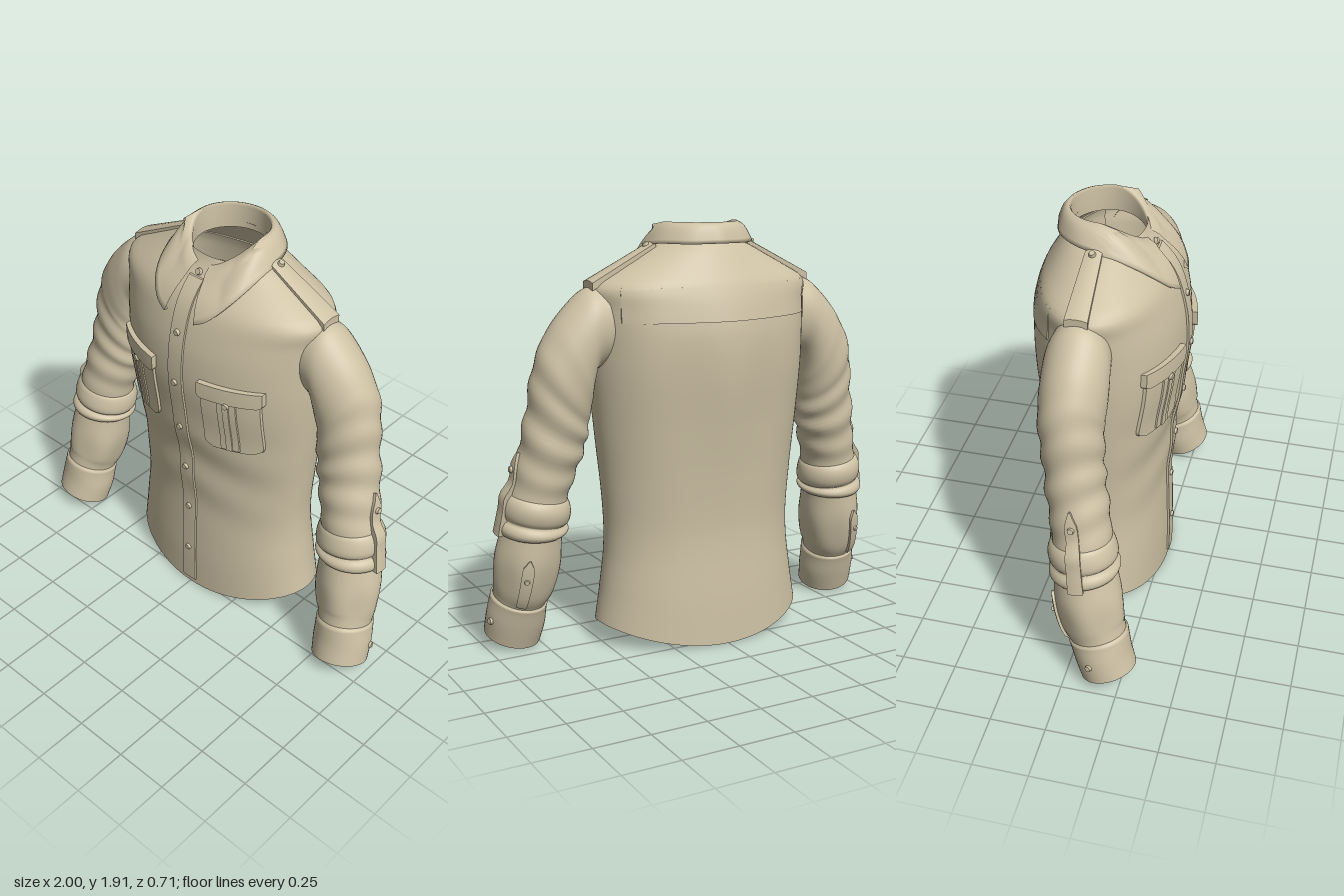
import * as THREE from 'three';

const khaki = new THREE.MeshStandardMaterial({ color: 0xcdc1a4, side: THREE.DoubleSide });
khaki.name = 'khaki cloth';
const V = (x, y, z) => new THREE.Vector3(x, y, z);
const bump = (x, c, w) => Math.exp(-(((x - c) / w) ** 2));

// Torso profile: height, half width, front depth, back depth
const TORSO = [
  [0, 0.515, 0.28, 0.31], [0.2, 0.49, 0.28, 0.3], [0.5, 0.465, 0.27, 0.28], [0.75, 0.48, 0.28, 0.29],
  [1, 0.505, 0.31, 0.312], [1.25, 0.525, 0.34, 0.338], [1.42, 0.53, 0.335, 0.342], [1.55, 0.535, 0.308, 0.322],
  [1.64, 0.54, 0.275, 0.295], [1.7, 0.44, 0.235, 0.262], [1.75, 0.345, 0.185, 0.232], [1.8, 0.25, 0.148, 0.2], [1.82, 0.2, 0.14, 0.18],
];
// Smooth (Hermite) lookup of one torso column at a height
function prof(y, c) {
  const T = TORSO, n = T.length - 1;
  y = Math.min(Math.max(y, 0), T[n][0]);
  let i = 0;
  while (i < n - 1 && y > T[i + 1][0]) i++;
  const slope = (k) => {
    const a = T[Math.max(k - 1, 0)], b = T[Math.min(k + 1, n)];
    return (b[c] - a[c]) / (b[0] - a[0]);
  };
  const h = T[i + 1][0] - T[i][0], t = (y - T[i][0]) / h, t2 = t * t, t3 = t2 * t;
  return (2 * t3 - 3 * t2 + 1) * T[i][c] + (t3 - 2 * t2 + t) * h * slope(i)
    + (3 * t2 - 2 * t3) * T[i + 1][c] + (t3 - t2) * h * slope(i + 1);
}
// Soft cloth folds, front and back
const foldF = (x, y) => 0.006 * Math.sin(20 * y + 7 * Math.abs(x)) * bump(y, 0.8, 0.28);
const foldB = (x, y) => 0.009 * Math.cos(15 * x) * bump(y, 1.2, 0.4);
function depth(x, y, c) {
  const r = x / prof(y, 1), k = Math.sqrt(Math.max(0, 1 - r * r));
  return k * (prof(y, c) + (c === 2 ? foldF(x, y) : foldB(x, y)));
}
const frontZ = (x, y) => depth(x, y, 2), backZ = (x, y) => -depth(x, y, 3);

// Surface from a rule f(u, v), optionally closed around u
function surf(f, nu, nv, closed) {
  const pos = [], idx = [], cols = closed ? nu : nu + 1;
  for (let j = 0; j <= nv; j++) for (let i = 0; i < cols; i++) pos.push(...f(i / nu, j / nv).toArray());
  for (let j = 0; j < nv; j++) for (let i = 0; i < nu; i++) {
    const a = j * cols + i, b = j * cols + ((i + 1) % cols);
    idx.push(a, b, a + cols, b, b + cols, a + cols);
  }
  const g = new THREE.BufferGeometry();
  g.setAttribute('position', new THREE.Float32BufferAttribute(pos, 3));
  g.setIndex(idx);
  g.computeVertexNormals();
  return g;
}
// Thin box bent by a rule; x, y run 0..1 and z is 0 (under) or 1 (top)
function bend(nx, ny, f) {
  const g = new THREE.BoxGeometry(1, 1, 1, nx, ny, 1), p = g.attributes.position;
  for (let i = 0; i < p.count; i++) {
    const q = f(p.getX(i) + 0.5, p.getY(i) + 0.5, p.getZ(i) + 0.5);
    p.setXYZ(i, q.x, q.y, q.z);
  }
  g.computeVertexNormals();
  return g;
}
// Plate lying on the chest, with its lower corners drawn in
function chestPlate(x0, x1, y0, y1, lift, round = 0, ny = 16) {
  return bend(8, ny, (a, b, c) => {
    const y = y0 + (y1 - y0) * b, d = Math.max(0, 1 - (y - y0) / (round || 1e-6));
    const inset = round * (1 - Math.sqrt(1 - d * d)), x = x0 + inset + (x1 - x0 - 2 * inset) * a;
    return V(x, y, frontZ(x, y) + (c ? lift : -0.01));
  });
}
function button(p, dir, r = 0.016) {
  const g = new THREE.CylinderGeometry(r * 0.8, r, 0.014, 14);
  g.applyQuaternion(new THREE.Quaternion().setFromUnitVectors(V(0, 1, 0), dir.clone().normalize()));
  return g.translate(p.x, p.y, p.z);
}
function mirror(g) {
  const m = g.clone().scale(-1, 1, 1), a = m.index.array;
  for (let i = 0; i < a.length; i += 3) [a[i], a[i + 1]] = [a[i + 1], a[i]];
  return m;
}

// Sleeve sections: outer x, y, inner x, y, centre z, half depth
const SLEEVE = [
  [0.5, 1.645, 0.46, 1.3, -0.02, 0.13], [0.565, 1.63, 0.53, 1.27, -0.02, 0.14], [0.64, 1.57, 0.545, 1.21, -0.02, 0.145],
  [0.72, 1.48, 0.55, 1.15, -0.02, 0.145], [0.78, 1.38, 0.555, 1.09, -0.02, 0.14], [0.815, 1.26, 0.56, 1.02, -0.01, 0.135],
  [0.835, 1.12, 0.57, 0.95, 0, 0.13], [0.86, 0.98, 0.59, 0.88, 0.015, 0.13], [0.885, 0.85, 0.62, 0.79, 0.035, 0.13],
  [0.91, 0.74, 0.645, 0.7, 0.05, 0.13], [0.925, 0.64, 0.655, 0.6, 0.06, 0.13], [0.94, 0.56, 0.665, 0.55, 0.07, 0.138],
  [0.965, 0.45, 0.67, 0.41, 0.088, 0.15], [0.968, 0.33, 0.7, 0.28, 0.112, 0.143], [0.965, 0.255, 0.725, 0.22, 0.135, 0.128],
  [0.98, 0.16, 0.73, 0.11, 0.16, 0.12], [0.985, 0.065, 0.745, 0.025, 0.188, 0.117],
];
const LAST = SLEEVE.length - 1;
const outer = new THREE.CatmullRomCurve3(SLEEVE.map((r) => V(r[0], r[1], r[4])));
const inner = new THREE.CatmullRomCurve3(SLEEVE.map((r) => V(r[2], r[3], r[4])));
const halfDepth = new THREE.CatmullRomCurve3(SLEEVE.map((r, i) => V(r[5], i, 0)));
const mid = (t) => outer.getPoint(t).add(inner.getPoint(t)).multiplyScalar(0.5);
// Point on the sleeve at section k and angle th (0 = outside, PI/2 = front), pushed out by off
function sleeveAt(k, th, off = 0) {
  const t = Math.min(k / LAST, 1), c = mid(t), u = outer.getPoint(t).sub(c), len = u.length();
  const tan = mid(Math.min(t + 0.01, 1)).sub(mid(Math.max(t - 0.01, 0)));
  const w = tan.cross(u).normalize();
  const fold = 0.007 * Math.sin(k * 5 + 1.5 * Math.sin(th)) * bump(k, 6.5, 2.3)
    + 0.005 * Math.cos(5 * th) * bump(k, 12.6, 0.9);
  const o = off + fold;
  return c.addScaledVector(u.normalize(), (len + o) * Math.cos(th))
    .addScaledVector(w, (halfDepth.getPoint(t).x + o) * Math.sin(th));
}
// Strap along the sleeve with one pointed end
function sleeveTab(k0, k1, th, half, lift) {
  return bend(4, 16, (a, b, c) => {
    const k = k0 + (k1 - k0) * b, w = half * Math.min(1, 0.15 + b * 6);
    return sleeveAt(k, th + (a - 0.5) * 2 * w, c ? lift(k) : -0.005);
  });
}

// Collar outline: outer edge from the back centre to the front point
const collarEdge = new THREE.CatmullRomCurve3([
  V(0, 1.82, -0.248), V(0.14, 1.818, -0.205), V(0.235, 1.818, -0.1), V(0.255, 1.805, 0.01),
  V(0.24, 1.752, frontZ(0.24, 1.752) + 0.025), V(0.2, 1.685, frontZ(0.2, 1.685) + 0.025),
  V(0.14, 1.62, frontZ(0.14, 1.62) + 0.025), V(0.085, 1.59, frontZ(0.085, 1.59) + 0.025),
]);
function collarPoint(u, v) {
  const s = u * 2 - 1, a = Math.abs(s), phi = a * Math.PI * 0.94;
  const drop = THREE.MathUtils.smoothstep(a, 0.5, 1.05);
  const ring = (r, y) => V(r * Math.sin(phi), y, -0.02 - (r - 0.005) * Math.cos(phi));
  const top = 1.91 - 0.12 * drop, row = Math.round(v * 12);
  let p;
  if (row === 0) p = ring(0.17, 1.79 - 0.03 * drop);
  else if (row === 1) p = ring(0.168, top - 0.012);
  else if (row === 2) p = ring(0.176, top);
  else {
    const t = Math.min((row - 2) / 9, 1), e = collarEdge.getPoint(a);
    p = ring(0.185, top - 0.004).lerp(e, t);
    p.y += 0.02 * Math.sin(Math.PI * t) * (1 - drop);
    const lift = row === 12 ? 0.002 : 0.022;
    if (p.z > 0) p.z = Math.max(p.z - (row === 12 ? 0.022 : 0), frontZ(p.x, p.y) + lift);
    else if (row === 12) p.multiply(V(0.92, 1, 0.92));
  }
  if (s < 0) p.x *= -1;
  return p;
}

export function createModel() {
  const root = new THREE.Group();
  root.name = 'shirt';
  const add = (name, g) => {
    const m = new THREE.Mesh(g, khaki);
    m.name = name;
    root.add(m);
  };
  const pair = (name, g) => { add(name + 'Left', g); add(name + 'Right', mirror(g)); };

  // Body with a curved hem
  add('body', surf((u, v) => {
    const th = u * Math.PI * 2, y = 1.82 * (1 - v), x = prof(y, 1) * Math.cos(th);
    const z = Math.sin(th) >= 0 ? frontZ(x, y) : backZ(x, y);
    return V(x, y + 0.1 * Math.cos(th) ** 2 * Math.max(0, 1 - y / 0.4), z);
  }, 96, 90, true));
  add('backYoke', bend(24, 6, (a, b, c) => {
    const x = (a - 0.5) * 0.92, y = 1.49 + 0.15 * b;
    return V(x, y, backZ(x, y) - (c ? 0.007 * (1 - b) : -0.01));
  }));

  // Button front
  add('placket', chestPlate(-0.04, 0.04, 0.035, 1.74, 0.01, 0, 60));
  [0.24, 0.5, 0.755, 1.01, 1.27, 1.52].forEach((y) =>
    add('frontButton', button(V(0, y, frontZ(0, y) + 0.014), V(0, 0, 1))));
  add('collarButton', button(V(0, 1.76, frontZ(0, 1.76) + 0.012), V(0, 0.5, 1)));

  add('collar', surf(collarPoint, 80, 12, false));

  // Chest pockets
  pair('pocket', chestPlate(0.142, 0.395, 0.98, 1.3, 0.014, 0.04));
  pair('pocketPleat', chestPlate(0.225, 0.305, 0.99, 1.27, 0.021));
  pair('pocketPleatEdge', chestPlate(0.252, 0.278, 0.99, 1.27, 0.026));
  pair('pocketFlap', chestPlate(0.132, 0.408, 1.262, 1.34, 0.026, 0.02));
  pair('pocketButton', button(V(0.268, 1.255, frontZ(0.268, 1.255) + 0.028), V(0.25, 0, 1)));

  // Shoulder straps
  const strapY = (x) => 1.655 + ((0.545 - x) / 0.295) * 0.152;
  pair('shoulderStrap', bend(12, 4, (a, b, c) => {
    const x = 0.235 + 0.315 * a, w = 0.036 + 0.014 * a, d = (b - 0.5) * 2;
    return V(x, strapY(x) + (c ? 0.014 : -0.02) - 0.008 * d * d, -0.025 + w * d);
  }));
  pair('strapButton', button(V(0.272, strapY(0.272) + 0.02, -0.027), V(0.45, 1, 0)));

  // Sleeves, rolled band and cuffs
  const around = (f, nv) => surf((u, v) => f(u * Math.PI * 2, v), 40, nv, true);
  pair('sleeve', around((th, v) => sleeveAt(v * 15.6, th), 80));
  pair('sleeveBand', around((th, v) =>
    sleeveAt(8.95 + 2.1 * v, th, -0.004 + 0.028 * Math.sqrt(Math.abs(Math.sin(Math.PI * 2 * v ** 1.25)))), 24));
  pair('cuff', around((th, v) => {
    const k = Math.min(v * 1.12, 1);
    return v > 0.95 ? sleeveAt(15.6, th, -0.006) : sleeveAt(13.95 + (LAST - 13.95) * k, th, v === 0 ? -0.004 : 0.01);
  }, 20));

  // Sleeve tabs and buttons
  const radial = (k, th) => sleeveAt(k, th, 0.1).sub(sleeveAt(k, th));
  pair('sleeveTab', sleeveTab(7.4, 11, 0, 0.2, (k) => 0.014 + 0.022 * THREE.MathUtils.smoothstep(k, 8.5, 9.2)));
  pair('sleeveTabButton', button(sleeveAt(8, 0, 0.018), radial(8, 0)));
  pair('cuffPlacket', sleeveTab(11.7, 13.6, -1.25, 0.17, () => 0.012));
  pair('cuffPlacketButton', button(sleeveAt(12.4, -1.25, 0.014), radial(12.4, -1.25), 0.013));
  pair('cuffButton', button(sleeveAt(15.1, -0.3, 0.014), radial(15.1, -0.3)));
  return root;
}
